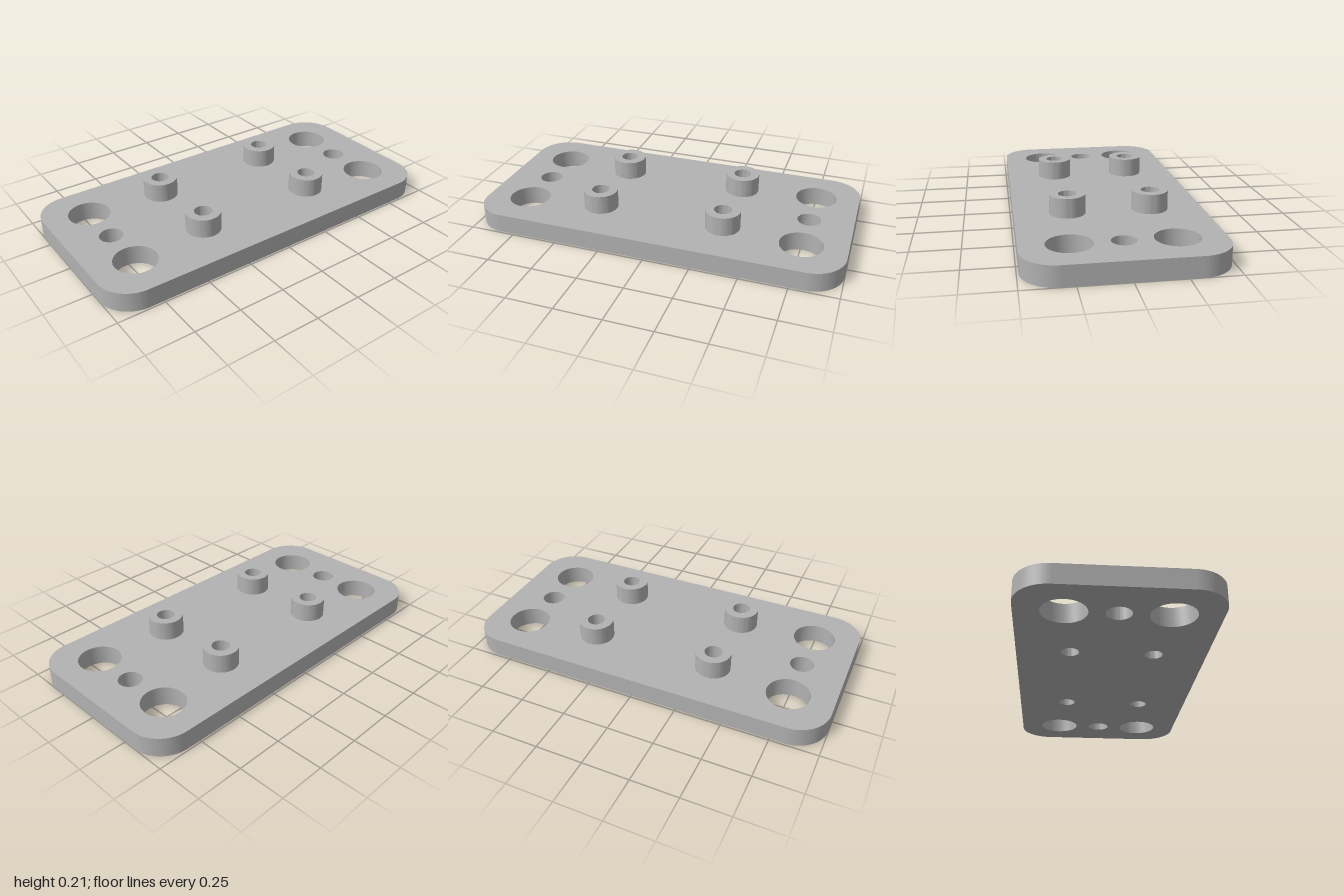
import * as THREE from 'three';
import { toCreasedNormals } from 'three/addons/utils/BufferGeometryUtils.js';

const HALF_W = 0.49, HALF_L = 1, CORNER = 0.175;
const PLATE_TOP = 0.104, BOSS_TOP = 0.207;
const BOSS = { x: 0.215, z: 0.345, outer: 0.093, bore: 0.047 };
const END_Z = 0.765;

const smooth = (geometry) => toCreasedNormals(geometry, 0.6);

function plateOutline() {
  const s = new THREE.Shape();
  const cx = HALF_W - CORNER, cy = HALF_L - CORNER, q = Math.PI / 2;
  s.absarc(cx, cy, CORNER, 0, q);
  s.absarc(-cx, cy, CORNER, q, 2 * q);
  s.absarc(-cx, -cy, CORNER, 2 * q, 3 * q);
  s.absarc(cx, -cy, CORNER, 3 * q, 4 * q);
  s.closePath();
  return s;
}

export function createModel() {
  const group = new THREE.Group();
  group.name = 'mountingPlate';
  const grey = new THREE.MeshStandardMaterial({ color: 0xb2b2b2 });
  grey.name = 'grey';

  // Plate with rounded corners and through holes
  const outline = plateOutline();
  const drill = (x, z, r) =>
    outline.holes.push(new THREE.Path().absarc(x, z, r, 0, Math.PI * 2, true));
  for (const sz of [-1, 1]) {
    drill(0, sz * END_Z, 0.062);
    for (const sx of [-1, 1]) {
      drill(sx * 0.254, sz * END_Z, 0.112);
      drill(sx * BOSS.x, sz * BOSS.z, BOSS.bore);
    }
  }
  const plateGeometry = new THREE.ExtrudeGeometry(outline, {
    depth: PLATE_TOP, bevelEnabled: false, curveSegments: 32,
  });
  plateGeometry.rotateX(-Math.PI / 2);
  const plate = new THREE.Mesh(smooth(plateGeometry), grey);
  plate.name = 'basePlate';
  group.add(plate);

  // Four hollow bosses, their bores continuing the plate's holes
  const profile = [
    [BOSS.outer, PLATE_TOP], [BOSS.outer, BOSS_TOP],
    [BOSS.bore, BOSS_TOP], [BOSS.bore, PLATE_TOP],
  ].map(([r, y]) => new THREE.Vector2(r, y));
  const bossGeometry = smooth(new THREE.LatheGeometry(profile, 64));
  for (const sx of [-1, 1]) {
    for (const sz of [-1, 1]) {
      const boss = new THREE.Mesh(bossGeometry, grey);
      boss.name = `${sz > 0 ? 'front' : 'back'}${sx > 0 ? 'Left' : 'Right'}Boss`;
      boss.position.set(sx * BOSS.x, 0, sz * BOSS.z);
      group.add(boss);
    }
  }
  return group;
}
